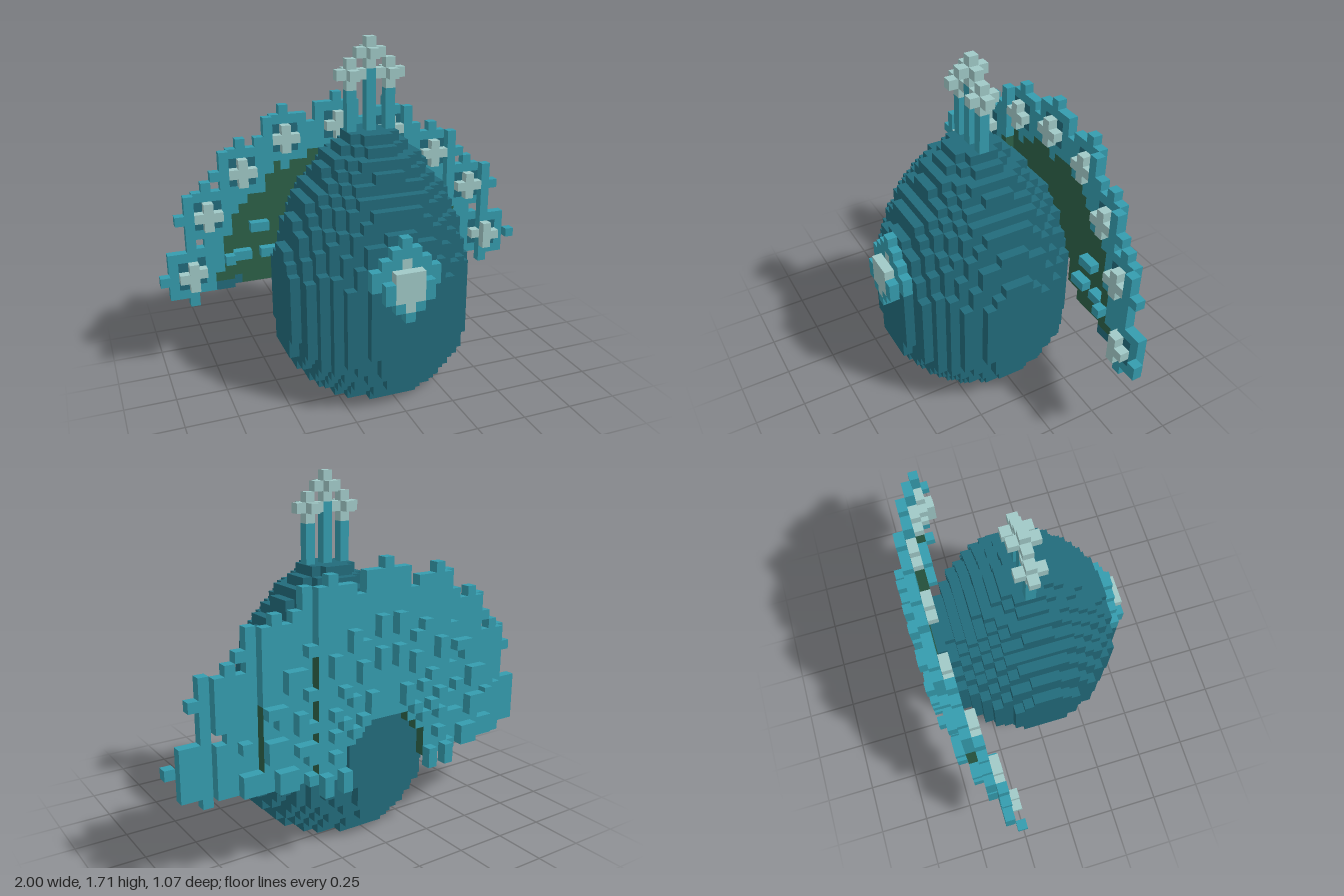
import * as THREE from 'three';

const S = 2 / 41;          // edge of one cube
const MID_Z = 11;          // depth index of the egg's axis
const BASE = 8;            // layer the fan radiates from

// Corners of each cube face, counter-clockwise from outside
const FACES = [
  [[1, 0, 0], [[1, 0, 1], [1, 0, 0], [1, 1, 0], [1, 1, 1]]],
  [[-1, 0, 0], [[0, 0, 0], [0, 0, 1], [0, 1, 1], [0, 1, 0]]],
  [[0, 1, 0], [[0, 1, 1], [1, 1, 1], [1, 1, 0], [0, 1, 0]]],
  [[0, -1, 0], [[0, 0, 0], [1, 0, 0], [1, 0, 1], [0, 0, 1]]],
  [[0, 0, 1], [[0, 0, 1], [1, 0, 1], [1, 1, 1], [0, 1, 1]]],
  [[0, 0, -1], [[1, 0, 0], [0, 0, 0], [0, 1, 0], [1, 1, 0]]],
];

// A set of coloured cubes; colours may be a name or { front, back, rest }
class Cubes {
  constructor() { this.cells = new Map(); }
  set(x, y, z, paint) { this.cells.set(`${x},${y},${z}`, [x, y, z, paint]); }
  has(x, y, z) { return this.cells.has(`${x},${y},${z}`); }
  mesh(name, materials) {
    const buckets = {};
    for (const [x, y, z, paint] of this.cells.values()) {
      for (const [n, corners] of FACES) {
        if (this.has(x + n[0], y + n[1], z + n[2])) continue;
        const side = n[2] > 0 ? 'front' : n[2] < 0 ? 'back' : 'rest';
        const colour = typeof paint === 'string' ? paint : paint[side];
        const b = (buckets[colour] ??= { p: [], n: [] });
        for (const i of [0, 1, 2, 0, 2, 3]) {
          const c = corners[i];
          b.p.push((x + c[0] - 0.5) * S, (y + c[1]) * S, (z + c[2] - 11) * S);
          b.n.push(...n);
        }
      }
    }
    const group = new THREE.Group();
    group.name = name;
    for (const [colour, b] of Object.entries(buckets)) {
      const g = new THREE.BufferGeometry();
      g.setAttribute('position', new THREE.Float32BufferAttribute(b.p, 3));
      g.setAttribute('normal', new THREE.Float32BufferAttribute(b.n, 3));
      const m = new THREE.Mesh(g, materials[colour]);
      m.name = `${name} ${colour}`;
      group.add(m);
    }
    return group;
  }
}

// Radius of the egg for each layer, bottom to top
const RADII = [6.6, 7.4, 8.2, 8.8, 9.3, 9.45, 9.6, 9.6, 9.6, 9.6, 9.6, 9.6, 9.6,
  9.3, 9.1, 8.8, 8.6, 8.2, 7.8, 7.3, 6.8, 5.9, 5.2, 4.5, 3.6, 2.5];

function makeEgg() {
  const egg = new Cubes();
  RADII.forEach((r, y) => {
    for (let x = -9; x <= 9; x++)
      for (let z = -9; z <= 9; z++)
        if (x * x + z * z <= r * r) egg.set(x, y, MID_Z + z, 'teal');
  });
  return egg;
}

// Diamond patch lying one cube proud of the egg's front
function makeChestPatch() {
  const patch = new Cubes();
  const half = [0, 1, 2, 3, 3, 2, 1, 0];      // half widths from layer 10 up
  const pale = [-1, 0, 1, 1, 1, 0, -1, -1];
  half.forEach((w, i) => {
    const y = 10 + i;
    for (let x = -w; x <= w; x++) {
      const depth = Math.floor(Math.sqrt(RADII[y] ** 2 - x * x));
      patch.set(x, y, MID_Z + depth + 1, Math.abs(x) <= pale[i] ? 'pale' : 'blue');
    }
  });
  return patch;
}

// Three stalks, each tipped with a pale star of cubes
function makeCrest() {
  const crest = new Cubes();
  for (const [x, tip] of [[-2, 31], [0, 33], [2, 31]]) {
    for (let y = 24; y < tip - 1; y++) crest.set(x, y, MID_Z, 'blue');
    crest.set(x, tip, MID_Z, 'pale');
    for (const [n] of FACES) crest.set(x + n[0], tip + n[1], MID_Z + n[2], 'pale');
  }
  return crest;
}

// The fan bends forward in steps away from the middle
const fanDepth = (x) => 1 + [7, 12, 16, 19].filter((limit) => Math.abs(x) > limit).length;

function makeFan() {
  const fan = new Cubes();
  const green = { front: 'green', back: 'blue', rest: 'green' };
  const spot = { front: 'teal', back: 'blue', rest: 'blue' };

  // Half-ring plate, green on the inner front, with ribs behind
  for (let x = -16; x <= 16; x++) {
    for (let y = BASE; y <= BASE + 16; y++) {
      const r = Math.hypot(x, y - BASE);
      if (r > 15.6 || r < 4.5) continue;
      const z = fanDepth(x);
      fan.set(x, y, z, r < 14.1 ? green : 'blue');
      const a = Math.floor((Math.atan2(y - BASE, Math.abs(x)) * 26) / Math.PI);
      const broken = (Math.floor(r) + a) % 3 === 0;
      if (r < 14.6 && a % 2 === 0 && !broken) fan.set(x, y, z - 1, 'blue');
    }
  }

  for (const s of [-1, 1]) {
    // Short feather ridges on the green front and lower rim
    for (const [from, to, y] of [[11, 13, 11], [9, 10, 14], [8, 9, 11]])
      for (let x = from; x <= to; x++) fan.set(s * x, y, fanDepth(x) + 1, 'blue');
    for (let x = 12; x <= 14; x++) fan.set(s * x, BASE, fanDepth(x), spot);
    // Feather tips hanging below the plate
    for (const x of [5, 7]) fan.set(s * x, BASE - 1, 0, 'blue');
    for (const x of [5, 7]) fan.set(s * x, BASE, 0, 'blue');
  }

  // Eye spots: square with four prongs, dark corners and a raised pale cross
  const eyes = [[0, 24], [6, 23], [11, 20], [15, 16], [17, 10]];
  for (const s of [-1, 1]) {
    for (const [ex, ey] of eyes) {
      const put = (dx, dy, lift, paint) => {
        const x = s * (ex + dx);
        fan.set(x, ey + dy, fanDepth(x) + lift, paint);
      };
      for (let dx = -2; dx <= 2; dx++)
        for (let dy = -2; dy <= 2; dy++)
          put(dx, dy, 0, Math.abs(dx) === 1 && Math.abs(dy) === 1 ? spot : 'blue');
      for (const [dx, dy] of [[1, 0], [-1, 0], [0, 1], [0, -1]]) {
        put(3 * dx, 3 * dy, 0, 'blue');
        put(dx, dy, 1, 'pale');
      }
      put(0, 0, 1, 'pale');
    }
  }
  return fan;
}

export function createModel() {
  const colours = { teal: 0x226b7b, blue: 0x359cae, pale: 0xa0c9c7, green: 0x2c6148 };
  const materials = {};
  for (const [name, color] of Object.entries(colours)) {
    materials[name] = new THREE.MeshStandardMaterial({ color });
    materials[name].name = name;
  }
  const model = new THREE.Group();
  model.name = 'cubeBird';
  model.add(
    makeEgg().mesh('eggBody', materials),
    makeChestPatch().mesh('chestPatch', materials),
    makeCrest().mesh('crest', materials),
    makeFan().mesh('tailFan', materials),
  );
  return model;
}
